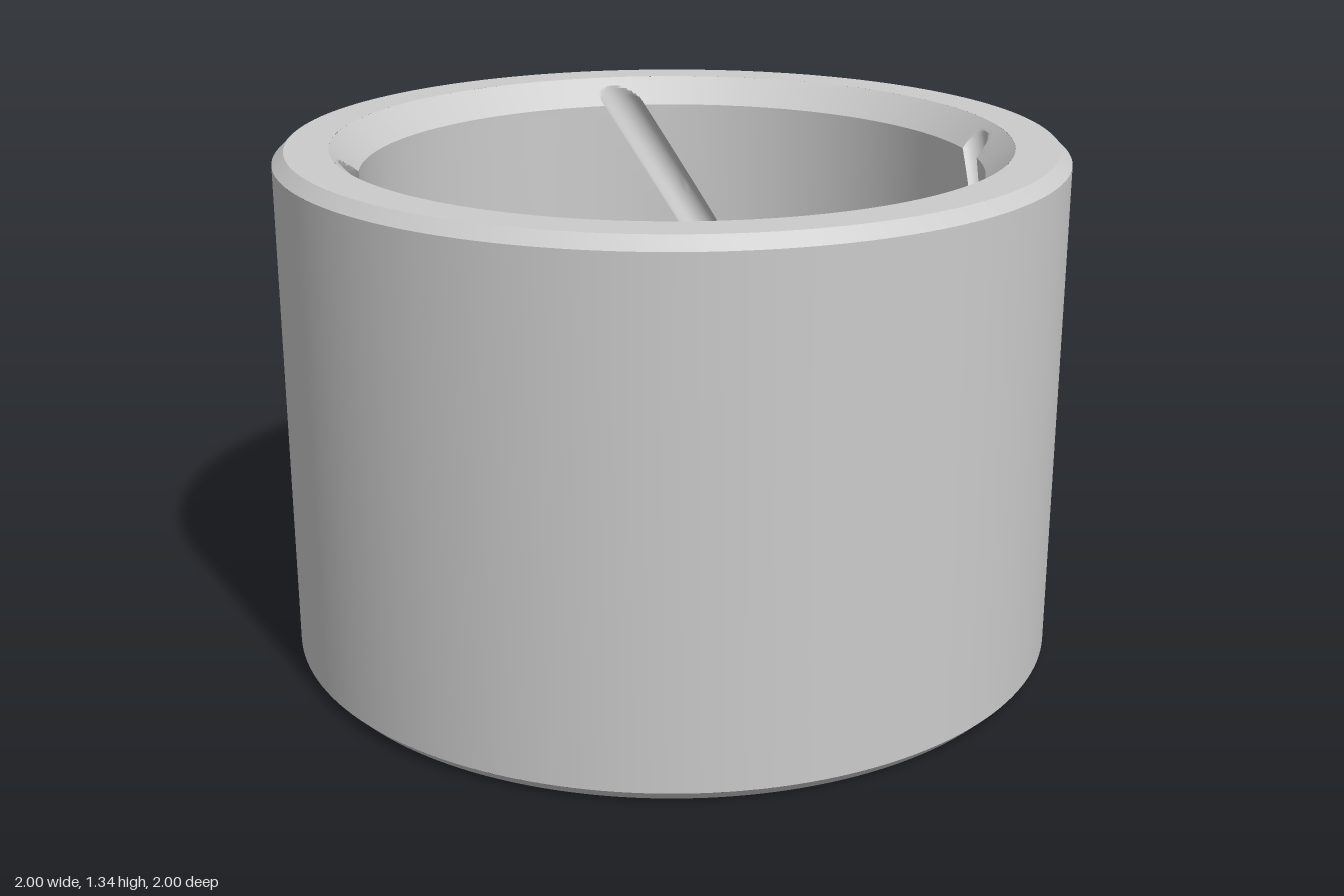
import * as THREE from 'three';
import { toCreasedNormals } from 'three/addons/utils/BufferGeometryUtils.js';

const H = 1.335, R = 1, BORE = 0.79;       // height, outer and bore radius
const EDGE = 0.03, BEVEL = 0.07;           // outer and inner chamfers
const GROOVE = 0.05, SWEEP = Math.PI / 3;  // groove radius and its turn over the height
const HOLE = 0.12, HOLE_Y = H / 2, FLOOR_X = -0.94;
const PATCH = 0.2;                         // half width of the wall strip around the hole

// Quad grid over indices i, j; the face normal follows di x dj
function grid(nu, nv, point) {
  const pos = [], index = [];
  for (let j = 0; j <= nv; j++)
    for (let i = 0; i <= nu; i++) pos.push(...point(i, j));
  for (let j = 0; j < nv; j++)
    for (let i = 0; i < nu; i++) {
      const a = j * (nu + 1) + i, d = a + nu + 1;
      index.push(a, a + 1, d + 1, a, d + 1, d);
    }
  const g = new THREE.BufferGeometry();
  g.setAttribute('position', new THREE.Float32BufferAttribute(pos, 3));
  g.setIndex(index);
  return g;
}

// Bore with end chamfers and four helical half-round grooves
function boreGeometry() {
  const tilt = Math.atan(BORE * SWEEP / H);
  const half = GROOVE / (BORE * Math.cos(tilt));   // groove half-angle
  const columns = [], rows = [];
  for (let k = 0; k < 4; k++) {
    const c = k * Math.PI / 2;
    for (let i = 0; i < 14; i++) {
      const t = -Math.cos(i / 14 * Math.PI);
      columns.push([c + half * t, GROOVE * Math.sqrt(Math.max(0, 1 - t * t))]);
    }
    for (let i = 0; i < 24; i++)
      columns.push([c + half + (Math.PI / 2 - 2 * half) * i / 24, 0]);
  }
  columns.push([columns[0][0] + 2 * Math.PI, 0]);
  for (let i = 0; i < 10; i++) rows.push(H - BEVEL * i / 10);
  for (let i = 0; i < 48; i++) rows.push(H - BEVEL - (H - 2 * BEVEL) * i / 48);
  for (let i = 0; i <= 10; i++) rows.push(BEVEL * (1 - i / 10));

  return grid(columns.length - 1, rows.length - 1, (i, j) => {
    const y = rows[j], [u, depth] = columns[i];
    const r = BORE + Math.max(0, depth, BEVEL - y, y - (H - BEVEL));
    const a = u + SWEEP * (y / H - 0.5) - 0.253;
    return [r * Math.sin(a), y, r * Math.cos(a)];
  });
}

// Strip of outer wall, blended from the round hole to a rectangle
function holePatchGeometry() {
  const n = 20, hy = H / 2 - EDGE;
  const corners = [[1, 1], [1, -1], [-1, -1], [-1, 1], [1, 1]];
  return grid(4 * n, 8, (i, j) => {
    const s = Math.min(3, Math.floor(i / n)), f = i / n - s, t = j / 8;
    const [p, q] = [corners[s], corners[s + 1]];
    const a = Math.PI / 4 - i / (4 * n) * 2 * Math.PI;
    const z = THREE.MathUtils.lerp(HOLE * Math.cos(a), PATCH * (p[0] + (q[0] - p[0]) * f), t);
    const y = THREE.MathUtils.lerp(HOLE * Math.sin(a), hy * (p[1] + (q[1] - p[1]) * f), t);
    return [-Math.sqrt(R * R - z * z), HOLE_Y + y, z];
  });
}

export function createModel() {
  const model = new THREE.Group();
  model.name = 'bushing';
  const material = new THREE.MeshStandardMaterial({ color: 0xcccccc });
  const add = (name, geometry) => {
    const mesh = new THREE.Mesh(toCreasedNormals(geometry, 0.45), material);
    mesh.name = name;
    model.add(mesh);
    return mesh;
  };
  const lathe = (pts, start = 0, length = 2 * Math.PI) => new THREE.LatheGeometry(
    pts.map(([r, y]) => new THREE.Vector2(r, y)), 160, start, length);

  // Outer wall, open where the hole strip fits
  const gap = Math.asin(PATCH / R);
  add('outerWall', lathe([[R, EDGE], [R, H - EDGE]], -Math.PI / 2 + gap, 2 * Math.PI - 2 * gap));
  add('holeSurround', holePatchGeometry());

  // End faces with their outer chamfers
  add('bottomRim', lathe([[BORE + BEVEL, 0], [R - EDGE, 0], [R, EDGE]]));
  add('topRim', lathe([[R, H - EDGE], [R - EDGE, H], [BORE + BEVEL, H]]));

  add('groovedBore', boreGeometry());

  // Blind hole in the side
  add('holeWall', grid(80, 1, (i, j) => {
    const a = Math.PI / 4 - i / 80 * 2 * Math.PI, z = HOLE * Math.cos(a);
    return [j ? -Math.sqrt(R * R - z * z) : FLOOR_X, HOLE_Y + HOLE * Math.sin(a), z];
  }));
  const floor = add('holeFloor', new THREE.CircleGeometry(HOLE, 80));
  floor.rotation.y = -Math.PI / 2;
  floor.position.set(FLOOR_X, HOLE_Y, 0);

  return model;
}
